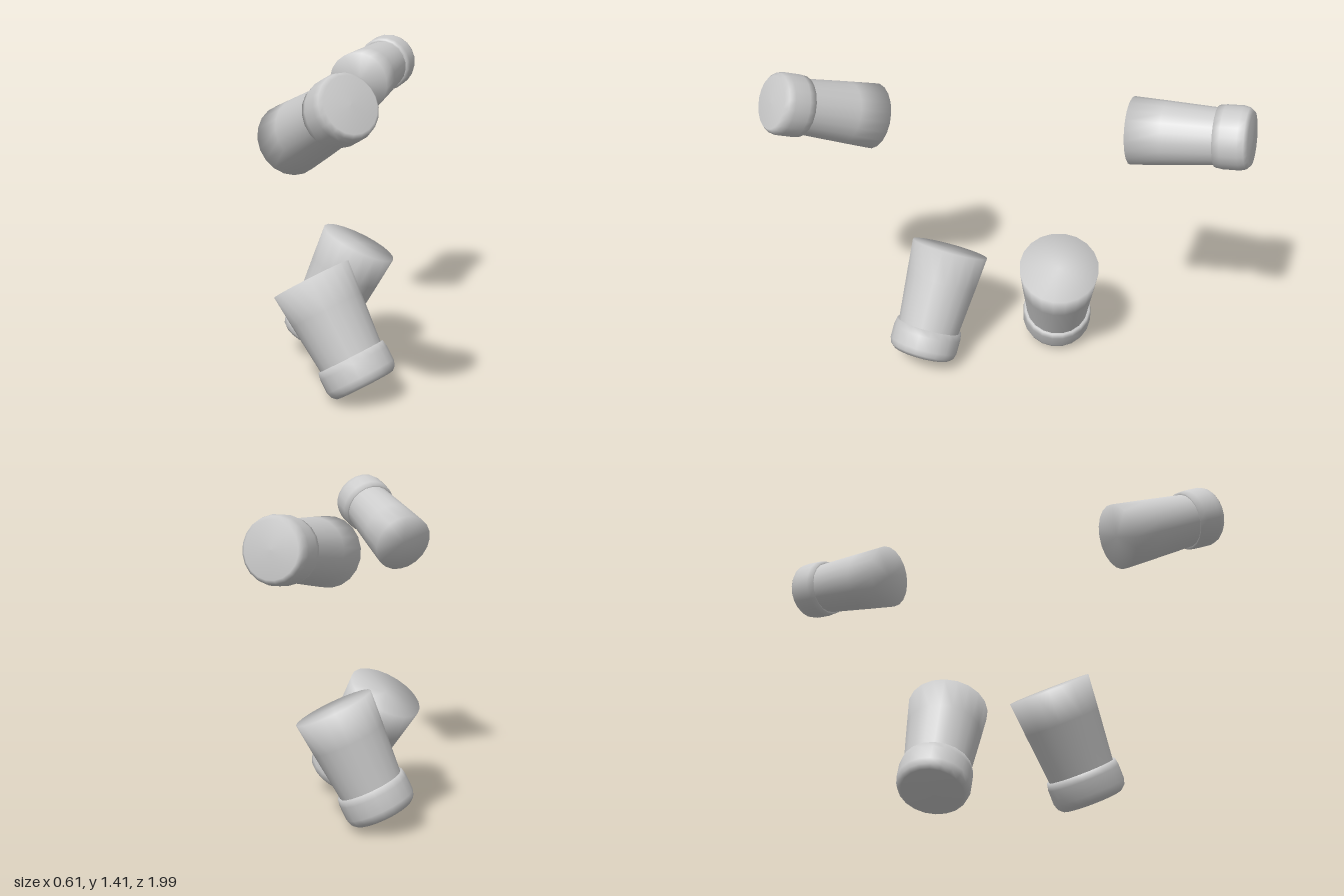
import * as THREE from 'three';

const SIDES = 20;
const material = new THREE.MeshStandardMaterial({ color: 0xcccccc });

// Smooth turned solid from [radius, distance along axis] pairs
function turned(name, profile) {
  const points = profile.map(([r, s]) => new THREE.Vector2(r, s));
  const mesh = new THREE.Mesh(new THREE.LatheGeometry(points, SIDES), material);
  mesh.name = name;
  return mesh;
}

// Tapered sleeve, closed at its wide end, with a thicker rounded end piece.
// start: centre of the wide end; direction: towards the end piece
function limb(name, endName, { start, direction, wide, narrow, end, seam, length }) {
  const group = new THREE.Group();
  group.name = name;
  group.add(turned(name + 'Sleeve', [
    [0, 0],
    [wide, 0],
    [wide * 0.62 + narrow * 0.38, seam * 0.4],
    [narrow, seam],
    [narrow, seam + 0.02],
  ]));
  group.add(turned(endName, [
    [narrow * 0.9, seam + 0.008],
    [end * 0.965, seam],
    [end, seam + 0.03],
    [end, length - 0.04],
    [end * 0.95, length - 0.015],
    [end * 0.84, length],
    [0, length + 0.003],
  ]));
  group.position.set(...start);
  const axis = new THREE.Vector3(...direction).normalize();
  group.quaternion.setFromUnitVectors(new THREE.Vector3(0, 1, 0), axis);
  return group;
}

export function createModel() {
  const model = new THREE.Group();
  model.name = 'limbs';
  const leg = { wide: 0.171, narrow: 0.138, end: 0.153, seam: 0.355 };
  const arm = { wide: 0.138, narrow: 0.114, end: 0.128, seam: 0.345 };

  // Legs, splayed apart with the feet on the ground
  model.add(limb('frontLeg', 'frontFoot', {
    ...leg, length: 0.485, start: [-0.092, 0.477, 0.28], direction: [0.5, -0.85, 0.18],
  }));
  model.add(limb('backLeg', 'backFoot', {
    ...leg, length: 0.49, start: [0.01, 0.51, -0.222], direction: [-0.42, -0.9, 0.07],
  }));

  // Arms, reaching forwards and backwards
  model.add(limb('frontArm', 'frontHand', {
    ...arm, length: 0.48, start: [-0.096, 1.115, 0.598], direction: [0.62, 0.4, 0.68],
  }));
  model.add(limb('backArm', 'backHand', {
    ...arm, length: 0.483, start: [-0.048, 1.185, -0.498], direction: [0.15, 0.11, -0.98],
  }));
  return model;
}
